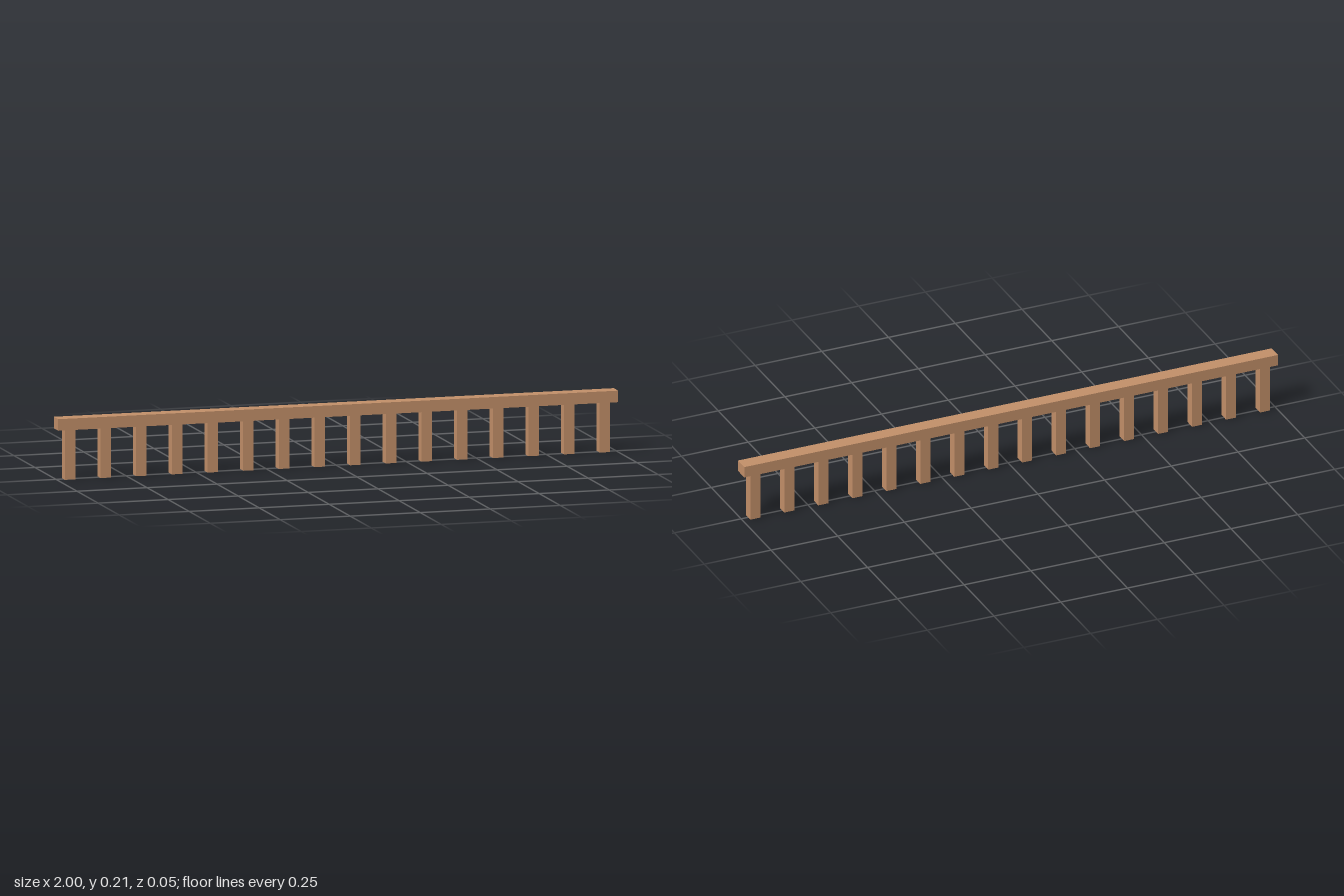
import * as THREE from 'three';

const HEIGHT = 0.213;
const RAIL_HEIGHT = 0.04;
const RAIL_DEPTH = 0.053;
const POST_SIZE = 0.0375;
const POST_COUNT = 16;
const POST_END_X = 0.955;

export function createModel() {
  const model = new THREE.Group();
  model.name = 'railing';
  const wood = new THREE.MeshStandardMaterial({ color: 0xc4916a });

  // Long handrail along the top
  const rail = new THREE.Mesh(new THREE.BoxGeometry(2, RAIL_HEIGHT, RAIL_DEPTH), wood);
  rail.name = 'handrail';
  rail.position.y = HEIGHT - RAIL_HEIGHT / 2;
  model.add(rail);

  // Evenly spaced square posts under the rail
  const postHeight = HEIGHT - RAIL_HEIGHT;
  const postGeometry = new THREE.BoxGeometry(POST_SIZE, postHeight, POST_SIZE);
  const posts = new THREE.Group();
  posts.name = 'posts';
  for (let i = 0; i < POST_COUNT; i++) {
    const post = new THREE.Mesh(postGeometry, wood);
    post.name = `post${i + 1}`;
    post.position.set(POST_END_X * (2 * i / (POST_COUNT - 1) - 1), postHeight / 2, 0);
    posts.add(post);
  }
  model.add(posts);

  return model;
}
